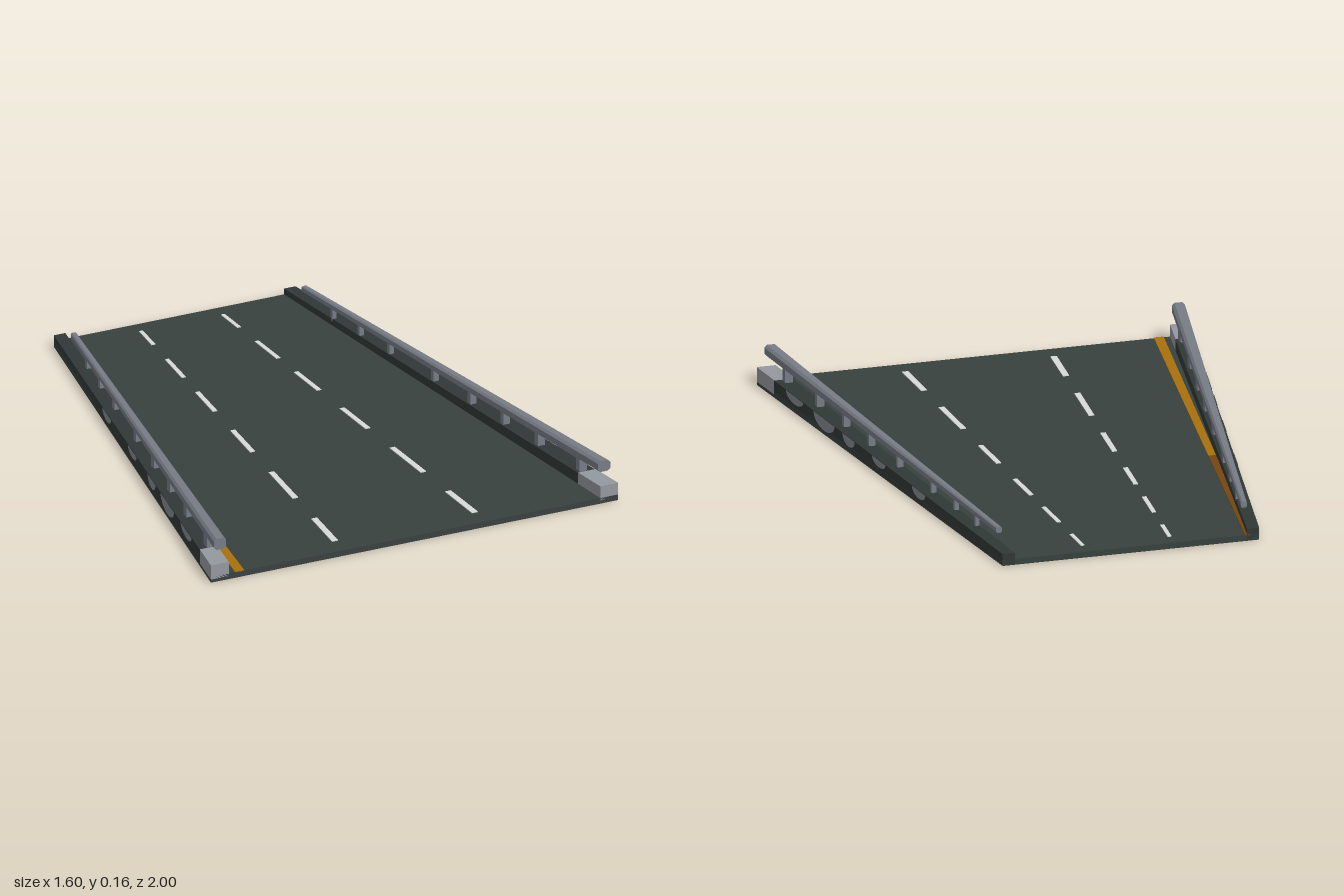
import * as THREE from 'three';

const mat = (name, color, extra = {}) =>
  Object.assign(new THREE.MeshStandardMaterial({ color, ...extra }), { name });

// Every edge tapers linearly along z
const line = (front, back) => z => back + (front - back) * (z + 1) / 2;
const outer = line(0.8, 0.475);
const inner = line(0.73, 0.43);
const kerbTop = line(0.066, 0.045);
const railX = line(0.758, 0.434);
const railBase = line(0.114, 0.078);
const railTop = line(0.157, 0.1);
const railHalf = line(0.024, 0.01);

// Faceted solid between two counter-clockwise rings; side -1 mirrors it in x
function loft(ringAt, zFront, zBack, side = 1) {
  const ring = z => {
    const pts = ringAt(z).map(([x, y]) => [x * side, y, z]);
    return side < 0 ? pts.reverse() : pts;
  };
  const a = ring(zFront), b = ring(zBack), n = a.length, pos = [];
  const tri = (...p) => p.forEach(v => pos.push(...v));
  for (let i = 0; i < n; i++) {
    const j = (i + 1) % n;
    tri(a[i], b[i], a[j]);
    tri(a[j], b[i], b[j]);
    if (i > 0 && i < n - 1) {
      tri(a[0], a[i], a[j]);
      tri(b[0], b[j], b[i]);
    }
  }
  const g = new THREE.BufferGeometry();
  g.setAttribute('position', new THREE.Float32BufferAttribute(pos, 3));
  g.computeVertexNormals();
  return g;
}

const rect = (x0, x1, y0, y1) => [[x0, y0], [x1, y0], [x1, y1], [x0, y1]];

export function createModel() {
  const model = new THREE.Group();
  model.name = 'roadSection';
  const asphalt = mat('asphalt', 0x38413f);
  const kerbDark = mat('darkKerb', 0x303836);
  const concrete = mat('paleConcrete', 0x94989f);
  const patchGrey = mat('wornConcrete', 0x84888c, { side: THREE.DoubleSide });
  const steel = mat('railSteel', 0x777c85);
  const white = mat('whitePaint', 0xd6dad8);
  const amber = mat('amberPaint', 0xa8700c);
  const brown = mat('fadedAmberPaint', 0x754610);

  const add = (parent, name, geometry, material) => {
    const m = new THREE.Mesh(geometry, material);
    m.name = name;
    parent.add(m);
  };

  // Tapered road deck
  const deckTop = 0.022;
  add(model, 'roadDeck', loft(z => rect(-outer(z), outer(z), 0, deckTop), 1, -1), asphalt);

  // Thin painted strip following a tapering line
  const strip = (name, centre, half, z0, z1, material, side) =>
    add(model, name, loft(z => rect(centre(z) - half(z), centre(z) + half(z),
      deckTop - 0.002, deckTop + 0.003), z0, z1, side), material);

  // Dashed lane lines
  const lane = line(0.28, 0.157), laneHalf = line(0.012, 0.007);
  const dashes = [[0.92, 0.72], [0.54, 0.31], [0.13, -0.06], [-0.23, -0.4], [-0.53, -0.69], [-0.82, -0.94]];
  for (const side of [1, -1])
    for (const [z0, z1] of dashes) strip('laneDash', lane, laneHalf, z0, z1, white, side);

  // Edge line on the right, faded towards the far end
  const edge = line(0.688, 0.433), edgeHalf = line(0.018, 0.011);
  strip('edgeLine', edge, edgeHalf, 1, -0.2, amber, -1);
  strip('fadedEdgeLine', edge, edgeHalf, -0.2, -1, brown, -1);

  // Kerb and guard rail on both sides
  const posts = [0.84, 0.58, 0.365, 0.16, -0.07, -0.345, -0.53, -0.7];
  const patches = [[0.69, 0.07, 0.03], [0.45, 0.085, 0.045], [0.25, 0.05, 0.035],
    [0.005, 0.055, 0.026], [-0.32, 0.055, 0.03]];

  for (const side of [1, -1]) {
    const barrier = new THREE.Group();
    barrier.name = side > 0 ? 'leftBarrier' : 'rightBarrier';
    model.add(barrier);

    add(barrier, 'kerb', loft(z => rect(inner(z), outer(z), 0.004, kerbTop(z)), 0.86, -1, side), kerbDark);
    add(barrier, 'kerbEndBlock',
      loft(z => rect(inner(z), outer(z) + 0.0005, 0.012, kerbTop(z) + 0.002), 1, 0.86, side), concrete);

    // Worn half-round patches on the outer kerb face
    for (const [z, r, depth] of patches) {
      const shape = new THREE.Shape().absellipse(0, 0, r, depth, Math.PI, Math.PI * 2, false);
      const g = new THREE.ShapeGeometry(shape, 8);
      const p = g.attributes.position;
      for (let i = 0; i < p.count; i++) {
        const pz = z - side * p.getX(i);
        p.setXYZ(i, side * (outer(pz) + 0.002), kerbTop(pz) + p.getY(i), pz);
      }
      g.computeVertexNormals();
      add(barrier, 'wornPatch', g, patchGrey);
    }

    // Rail with bevelled upper edges
    add(barrier, 'guardRail', loft(z => {
      const x = railX(z), h = railHalf(z), y0 = railBase(z), y1 = railTop(z), c = h * 0.4;
      return [[x - h + c, y0], [x + h - c, y0], [x + h, y0 + c], [x + h, y1 - c],
        [x + h - c, y1], [x - h + c, y1], [x - h, y1 - c], [x - h, y0 + c]];
    }, 0.98, -0.88, side), steel);

    // Short posts
    for (const z of posts) {
      const w = railHalf(z) * 0.65, x = railX(z);
      add(barrier, 'railPost', loft(() => rect(x - w, x + w, kerbTop(z) - 0.01, railBase(z) + 0.008),
        z + w, z - w, side), steel);
    }
  }
  return model;
}
